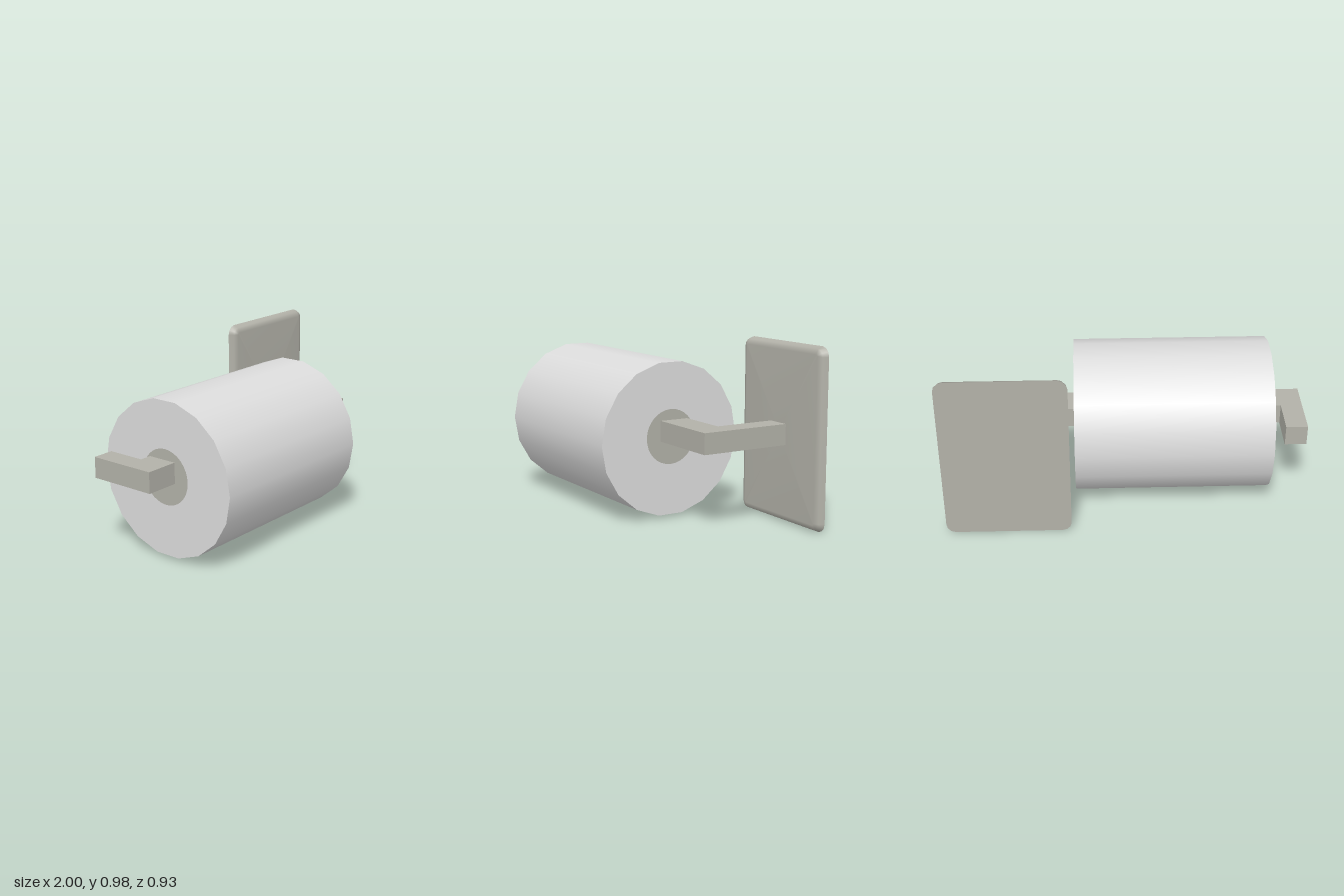
import * as THREE from 'three';

const metal = new THREE.MeshStandardMaterial({ color: 0xb2b1a8 });
metal.name = 'brushed metal';
const paper = new THREE.MeshStandardMaterial({ color: 0xdcdcdc });
paper.name = 'paper';

function add(group, name, geometry, material, x = 0, y = 0, z = 0) {
  const mesh = new THREE.Mesh(geometry, material);
  mesh.name = name;
  mesh.position.set(x, y, z);
  group.add(mesh);
  return mesh;
}

// Rounded rectangle outline, counter-clockwise seen from +z
function outline(halfW, halfH, r, steps = 3) {
  const points = [];
  [[1, 1], [-1, 1], [-1, -1], [1, -1]].forEach(([sx, sy], corner) => {
    for (let i = 0; i <= steps; i++) {
      const a = (corner + i / steps) * Math.PI / 2;
      points.push(new THREE.Vector2(
        sx * (halfW - r) + r * Math.cos(a),
        sy * (halfH - r) + r * Math.sin(a)));
    }
  });
  return points;
}

// Smooth plate front: inset loops closed by a fan
function plateFront(halfW, halfH, r) {
  const levels = [[0, 0], [0.013, 0.031], [0.042, 0.043]]; // inset, z
  const positions = [];
  const index = [];
  let n = 0;
  for (const [inset, z] of levels) {
    const loop = outline(halfW - inset, halfH - inset, r - inset);
    n = loop.length;
    loop.forEach(p => positions.push(p.x, p.y, z));
  }
  const centre = positions.length / 3;
  positions.push(0, 0, 0.043);
  for (let i = 0; i < n; i++) {
    const j = (i + 1) % n;
    for (let k = 0; k < levels.length - 1; k++) {
      const a = k * n + i, b = k * n + j;
      index.push(a, b, b + n, a, b + n, a + n);
    }
    const last = (levels.length - 1) * n;
    index.push(last + i, last + j, centre);
  }
  const geometry = new THREE.BufferGeometry();
  geometry.setAttribute('position', new THREE.Float32BufferAttribute(positions, 3));
  geometry.setIndex(index);
  geometry.computeVertexNormals();
  return geometry;
}

export function createModel() {
  const model = new THREE.Group();
  model.name = 'paperRollHolder';

  // Paper roll with a core disc on each end
  const rollLeft = 0.28, rollRight = -0.81;
  const roll = add(model, 'paperRoll',
    new THREE.CylinderGeometry(0.43, 0.43, rollLeft - rollRight, 18),
    paper, (rollLeft + rollRight) / 2, 0.44, 0.035);
  roll.rotation.z = Math.PI / 2;
  for (const [side, x] of [[1, rollLeft], [-1, rollRight]]) {
    const core = add(model, side > 0 ? 'leftCore' : 'rightCore',
      new THREE.CircleGeometry(0.153, 32), metal, x + side * 0.002, 0.453, 0.035);
    core.rotation.y = side * Math.PI / 2;
  }

  // Square bar bent back at both ends, drawn from above as (x, -z)
  const bar = new THREE.Shape([
    [-1, -0.1], [0.71, -0.1], [0.71, 0.425], [0.58, 0.425],
    [0.58, 0.07], [-0.88, 0.07], [-0.88, 0.285], [-1, 0.285],
  ].map(([x, y]) => new THREE.Vector2(x, y)));
  const barGeometry = new THREE.ExtrudeGeometry(bar, { depth: 0.115, bevelEnabled: false });
  barGeometry.rotateX(-Math.PI / 2);
  add(model, 'holderBar', barGeometry, metal, 0, 0.431, 0);

  // Wall plate with a softened front rim and a flat back
  const plate = new THREE.Group();
  plate.name = 'wallPlate';
  plate.position.set(0.653, 0.492, -0.465);
  model.add(plate);
  const halfW = 0.347, halfH = 0.492, radius = 0.052;
  add(plate, 'plateFront', plateFront(halfW, halfH, radius), metal);
  const back = add(plate, 'plateBack',
    new THREE.ShapeGeometry(new THREE.Shape(outline(halfW, halfH, radius))), metal);
  back.rotation.y = Math.PI;

  return model;
}
